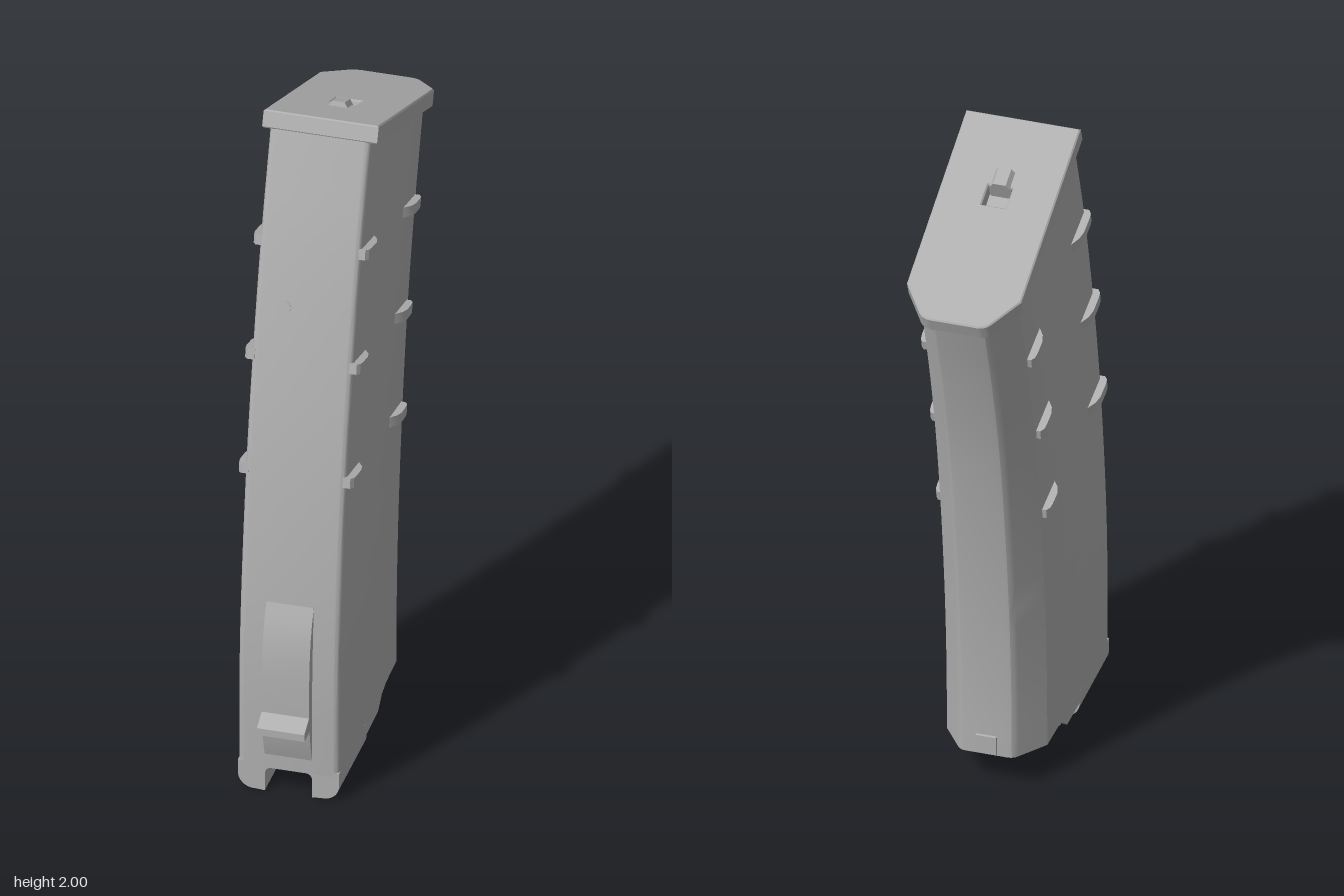
import * as THREE from 'three';
import { toCreasedNormals } from 'three/addons/utils/BufferGeometryUtils.js';

const grey = new THREE.MeshStandardMaterial({ color: 0xb0b0b0 });
grey.name = 'matte grey';

const HALF = 0.145; // half width of the body

function shapeOf(points) {
  return new THREE.Shape(points.map(([x, y]) => new THREE.Vector2(x, y)));
}

function addMesh(parent, name, geometry) {
  const mesh = new THREE.Mesh(toCreasedNormals(geometry, 0.42), grey);
  mesh.name = name;
  parent.add(mesh);
  return mesh;
}

// Extrude a side profile given as (z, y) points across x
function addSideProfile(parent, name, points, x, width) {
  const g = new THREE.ExtrudeGeometry(shapeOf(points), { depth: width, bevelEnabled: false });
  g.translate(0, 0, -width / 2).rotateY(-Math.PI / 2).translate(x, 0, 0);
  return addMesh(parent, name, g);
}

// Curved body: planar sections swept between a front curve and a back curve
function bodyGeometry() {
  const curve = (pts) => new THREE.CatmullRomCurve3(pts.map(([z, y]) => new THREE.Vector3(0, y, z)));
  const front = curve([[0.46, 0.075], [0.46, 0.35], [0.444, 0.6], [0.39, 1.0], [0.323, 1.33], [0.238, 1.66], [0.14, 1.96]]);
  const back = curve([[-0.222, 0.112], [-0.226, 0.32], [-0.243, 0.57], [-0.283, 0.89], [-0.337, 1.19], [-0.41, 1.47], [-0.487, 1.71]]);

  // Half outline as (x, distance from front, distance is from the back when flagged)
  const half = [];
  const r = 0.018;
  for (let i = 0; i <= 5; i++) {
    const a = (i / 5) * Math.PI / 2;
    half.push([HALF - r + r * Math.sin(a), r - r * Math.cos(a), false]);
  }
  half.push([HALF, 0.1, true], [0.088, 0.017, true], [0.081, 0.008, true], [0.072, 0.002, true], [0.06, 0, true]);
  const outline = [...half, ...half.slice().reverse().map(([x, d, b]) => [-x, d, b])];
  const n = outline.length;

  const verts = [];
  let rings = 0;
  function ring(t, inset, raise) {
    const f = front.getPoint(t), b = back.getPoint(t);
    const dir = b.clone().sub(f);
    const len = dir.length();
    dir.normalize();
    for (const [x, d, fromBack] of outline) {
      let u = fromBack ? len - d : d;
      u = len / 2 + (u - len / 2) * (1 - 2 * inset / len);
      const p = f.clone().addScaledVector(dir, u);
      verts.push(x * (1 - inset / HALF), p.y + raise, p.z);
    }
    rings++;
  }
  ring(0, 0.012, 0.02); // recessed floor
  ring(0, 0.012, 0);
  const steps = 28;
  for (let i = 0; i <= steps; i++) ring(i / steps, 0, 0);

  const index = [];
  for (let j = 0; j < rings - 1; j++) {
    for (let i = 0; i < n; i++) {
      const k = (i + 1) % n;
      const a = j * n + i, b = j * n + k, c = a + n, d = b + n;
      index.push(a, b, d, a, d, c);
    }
  }
  const top = (rings - 1) * n;
  for (let i = 1; i < n - 1; i++) {
    index.push(0, i + 1, i);
    index.push(top, top + i, top + i + 1);
  }
  const g = new THREE.BufferGeometry();
  g.setAttribute('position', new THREE.Float32BufferAttribute(verts, 3));
  g.setIndex(index);
  return g;
}

// Tilted end plate; local y runs from its front edge to its back, local z points out
function addCap(parent) {
  const cap = new THREE.Group();
  cap.name = 'endCap';
  cap.position.set(0, 2.0, 0.127);
  cap.rotation.x = Math.atan2(-0.934, -0.358);
  parent.add(cap);

  const s = new THREE.Shape();
  s.moveTo(-0.165, 0);
  s.lineTo(0.165, 0);
  s.lineTo(0.165, 0.602);
  s.lineTo(0.105, 0.69);
  s.quadraticCurveTo(0.092, 0.71, 0.065, 0.71);
  s.lineTo(-0.065, 0.71);
  s.quadraticCurveTo(-0.092, 0.71, -0.105, 0.69);
  s.lineTo(-0.165, 0.602);
  s.closePath();
  const hole = new THREE.Path();
  hole.moveTo(-0.035, 0.233);
  hole.lineTo(-0.035, 0.302);
  hole.lineTo(0.035, 0.302);
  hole.lineTo(0.035, 0.233);
  hole.closePath();
  s.holes.push(hole);
  const plate = new THREE.ExtrudeGeometry(s, {
    depth: 0.044, bevelThickness: 0.004, bevelSize: 0.004, bevelOffset: -0.004, bevelSegments: 1, curveSegments: 6,
  });
  plate.translate(0, 0, -0.048);
  addMesh(cap, 'capPlate', plate);

  // Release button standing in the square hole
  const button = new THREE.ExtrudeGeometry(
    shapeOf([[-0.032, -0.045], [0.032, -0.045], [0.032, -0.006], [0.018, 0.014], [-0.018, 0.014], [-0.032, -0.006]]),
    { depth: 0.058, bevelEnabled: false });
  button.rotateX(Math.PI / 2).translate(0, 0.239, 0);
  addMesh(cap, 'capButton', button);
}

// Short grip rib, blunt at (z0, y0) and fading into the wall at (z1, y1)
function addRib(parent, side, [z0, y0, z1, y1]) {
  const len = Math.hypot(z1 - z0, y1 - y0);
  const pts = [[-0.01, 0], [0.012, 0], [0.02, 0.012], [0.022, 0.03], [0.022, len * 0.6], [0.016, len * 0.8], [0, len], [-0.01, len]];
  const g = new THREE.ExtrudeGeometry(
    shapeOf(pts.map(([x, u]) => [side * (HALF + x), u])), { depth: 0.03, bevelEnabled: false });
  g.translate(0, 0, -0.015);
  const rib = addMesh(parent, side > 0 ? 'leftRib' : 'rightRib', g);
  rib.position.set(0, y0, z0);
  rib.rotation.x = Math.atan2(z1 - z0, y1 - y0);
}

// Rail under each side, with a rounded outer lower edge
function addFoot(parent, side) {
  const s = new THREE.Shape();
  s.moveTo(side * 0.05, 0.088);
  s.lineTo(side * 0.05, 0.075);
  s.quadraticCurveTo(side * 0.066, 0.074, side * 0.068, 0.055);
  s.lineTo(side * 0.068, 0);
  s.lineTo(side * 0.095, 0.002);
  s.absarc(side * 0.1, 0.047, 0.045, -Math.PI / 2, side > 0 ? 0 : -Math.PI, side < 0);
  s.lineTo(side * HALF, 0.088);
  s.closePath();
  const g = new THREE.ExtrudeGeometry(s, { depth: 0.28, bevelEnabled: false, curveSegments: 8 });
  g.translate(0, 0, 0.18);
  addMesh(parent, side > 0 ? 'leftFoot' : 'rightFoot', g);
}

export function createModel() {
  const model = new THREE.Group();
  model.name = 'curvedCase';

  addMesh(model, 'body', bodyGeometry());
  addCap(model);

  // Front catch with its protruding lip
  addSideProfile(model, 'frontCatch', [
    [0.43, 0.12], [0.461, 0.12], [0.476, 0.17], [0.487, 0.228], [0.54, 0.228], [0.54, 0.25], [0.492, 0.275],
    [0.491, 0.37], [0.487, 0.44], [0.477, 0.51], [0.462, 0.56], [0.444, 0.605], [0.42, 0.605],
  ], 0, 0.136);

  // Tab low on the back
  addSideProfile(model, 'backTab', [[-0.2, 0.118], [-0.229, 0.118], [-0.23, 0.175], [-0.2, 0.18]], 0, 0.06);

  // Grip ribs: three along the front and three along the back of each side
  const ribs = [
    [0.238, 1.645, 0.105, 1.612], [0.325, 1.325, 0.195, 1.294], [0.39, 0.993, 0.26, 0.968],
    [-0.31, 1.497, -0.19, 1.525], [-0.225, 1.205, -0.105, 1.23], [-0.17, 0.907, -0.05, 0.926],
  ];
  for (const side of [1, -1]) {
    for (const rib of ribs) addRib(model, side, rib);
    addFoot(model, side);
    // Thin stepped lip behind the foot
    addSideProfile(model, side > 0 ? 'leftLip' : 'rightLip', [
      [0.19, 0.05], [0.19, 0.105], [-0.01, 0.105], [-0.01, 0.098], [0.025, 0.088], [0.05, 0.066], [0.065, 0.054],
    ], side * (HALF - 0.006), 0.012);
  }

  // Small round plug on the front face
  const plug = addMesh(model, 'frontPlug', new THREE.CylinderGeometry(0.02, 0.02, 0.008, 20));
  plug.position.set(-0.062, 1.47, 0.288);
  plug.rotation.x = Math.PI / 2 - 0.25;

  return model;
}
